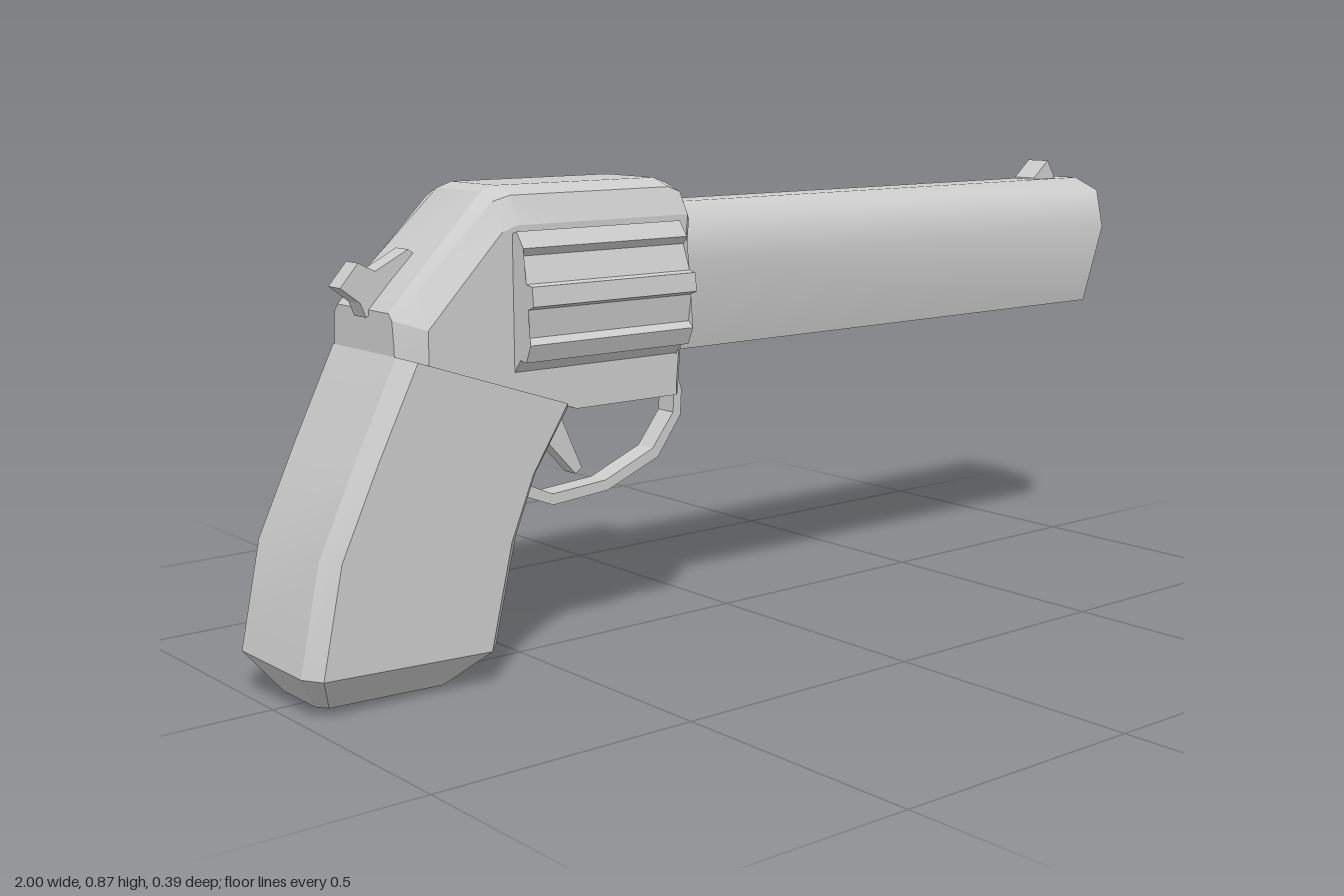
import * as THREE from 'three';
import { toCreasedNormals } from 'three/addons/utils/BufferGeometryUtils.js';

const material = new THREE.MeshStandardMaterial({ color: 0xcccccc });

function part(name, geometry, crease = 0.3) {
  const mesh = new THREE.Mesh(toCreasedNormals(geometry, crease), material);
  mesh.name = name;
  return mesh;
}

// Completes a half cross-section by mirroring it across z = 0.
const mirrored = half => [...half, ...half.map(([x, y, z]) => [x, y, -z]).reverse()];

// Skins a row of equal-length rings and caps both ends.
function loft(rings) {
  const n = rings[0].length, index = [];
  for (let i = 0; i < rings.length - 1; i++) {
    for (let j = 0; j < n; j++) {
      const k = (j + 1) % n, a = i * n, b = a + n;
      index.push(a + j, a + k, b + k, a + j, b + k, b + j);
    }
  }
  const last = (rings.length - 1) * n;
  for (let j = 1; j < n - 1; j++) {
    index.push(0, j + 1, j, last, last + j, last + j + 1);
  }
  const geometry = new THREE.BufferGeometry();
  geometry.setAttribute('position', new THREE.Float32BufferAttribute(rings.flat(2), 3));
  geometry.setIndex(index);
  return geometry;
}

// Flat side profile extruded symmetrically in z.
function plate(points, width) {
  const shape = new THREE.Shape(points.map(p => new THREE.Vector2(...p)));
  return new THREE.ExtrudeGeometry(shape, { depth: width, bevelEnabled: false })
    .translate(0, 0, -width / 2);
}

function barrel() {
  const outer = [[0.035, 0.815], [0.098, 0.79], [0.12, 0.71], [0.08, 0.543]];
  const inner = [[0.022, 0.785], [0.07, 0.767], [0.1, 0.7], [0.062, 0.565]];
  // The muzzle leans back slightly toward its lower edge.
  const muzzle = y => 1 - (0.815 - y) * 0.055;
  const ring = (profile, x) => mirrored(profile.map(([z, y]) => [x ?? muzzle(y), y, z]));
  return loft([ring(outer, -0.23), ring(outer), ring(inner), ring(inner, -0.15)]);
}

function frame() {
  // x, bottom, side top, chamfer, roof heights, then side, chamfer, roof half widths
  const sections = [
    [-0.805, 0.59, 0.605, 0.652, 0.663, 0.1, 0.095, 0.085],
    [-0.76, 0.572, 0.635, 0.695, 0.71, 0.135, 0.1, 0.083],
    [-0.61, 0.522, 0.79, 0.84, 0.855, 0.135, 0.105, 0.07],
    [-0.58, 0.511, 0.8, 0.85, 0.865, 0.135, 0.115, 0.07],
    [-0.46, 0.47, 0.8, 0.85, 0.865, 0.135, 0.115, 0.07],
    [-0.235, 0.47, 0.8, 0.85, 0.865, 0.135, 0.115, 0.07],
    [-0.207, 0.47, 0.8, 0.84, 0.855, 0.135, 0.113, 0.07],
    [-0.195, 0.47, 0.79, 0.82, 0.832, 0.125, 0.105, 0.065],
  ];
  return loft(sections.map(([x, y0, y1, y2, y3, w1, w2, w3]) => {
    const lean = y => (x > -0.22 ? x - Math.max(0, 0.8 - y) * 0.09 : x);
    return mirrored([[w3, y3], [w2, y2], [w1, y1], [w1, y0]].map(([z, y]) => [lean(y), y, z]));
  }));
}

function flutedCylinder() {
  const profile = [];
  for (let i = 0; i < 12; i++) {
    for (const [offset, r] of [[7, 0.179], [5, 0.195], [-5, 0.195], [-7, 0.179]]) {
      const a = THREE.MathUtils.degToRad(6 - i * 30 + offset);
      profile.push([0.663 + r * Math.sin(a), r * Math.cos(a)]);
    }
  }
  return loft([-0.59, -0.235].map(x => profile.map(([y, z]) => [x, y, z])));
}

function grip() {
  // back x, back y, front x, front y, half width, inner half width
  const rows = [
    [-0.95, 0.008, -0.69, 0, 0.075, 0.055],
    [-1, 0.078, -0.62, 0.063, 0.14, 0.105],
    [-0.96, 0.27, -0.575, 0.25, 0.14, 0.105],
    [-0.885, 0.43, -0.53, 0.36, 0.14, 0.105],
    [-0.805, 0.592, -0.455, 0.473, 0.14, 0.105],
  ];
  return loft(rows.map(([xb, yb, xf, yf, w, wi]) => {
    const at = (t, z) => [xb + (xf - xb) * t, yb + (yf - yb) * t, z];
    return mirrored([at(0, wi), at(0.06, w), at(0.92, w), at(1, wi)]);
  }));
}

export function createModel() {
  const model = new THREE.Group();
  model.name = 'revolver';
  model.add(
    part('barrel', barrel(), 1.05),
    part('frame', frame()),
    part('cylinder', flutedCylinder(), 0.1),
    part('grip', grip()),
    // Hammer: a body with a raised spur
    part('hammer', plate([
      [-0.81, 0.65], [-0.82, 0.675], [-0.857, 0.703], [-0.822, 0.743], [-0.79, 0.727],
      [-0.725, 0.76], [-0.705, 0.745], [-0.7, 0.72],
    ], 0.04)),
    part('trigger', plate([
      [-0.48, 0.49], [-0.47, 0.42], [-0.42, 0.365], [-0.38, 0.322], [-0.366, 0.332],
      [-0.415, 0.44], [-0.43, 0.49],
    ], 0.035)),
    // Guard: outer edge forward to back, then inner edge returning
    part('triggerGuard', plate([
      [-0.24, 0.54], [-0.16, 0.53], [-0.132, 0.455], [-0.135, 0.405], [-0.19, 0.33],
      [-0.31, 0.282], [-0.435, 0.272], [-0.535, 0.312], [-0.555, 0.335], [-0.53, 0.335],
      [-0.435, 0.293], [-0.315, 0.302], [-0.203, 0.348], [-0.153, 0.412], [-0.151, 0.45],
      [-0.173, 0.508], [-0.24, 0.52],
    ], 0.045)),
    part('frontSight', plate([
      [0.865, 0.805], [0.94, 0.805], [0.932, 0.825], [0.912, 0.855], [0.868, 0.818],
    ], 0.055)),
  );
  return model;
}
